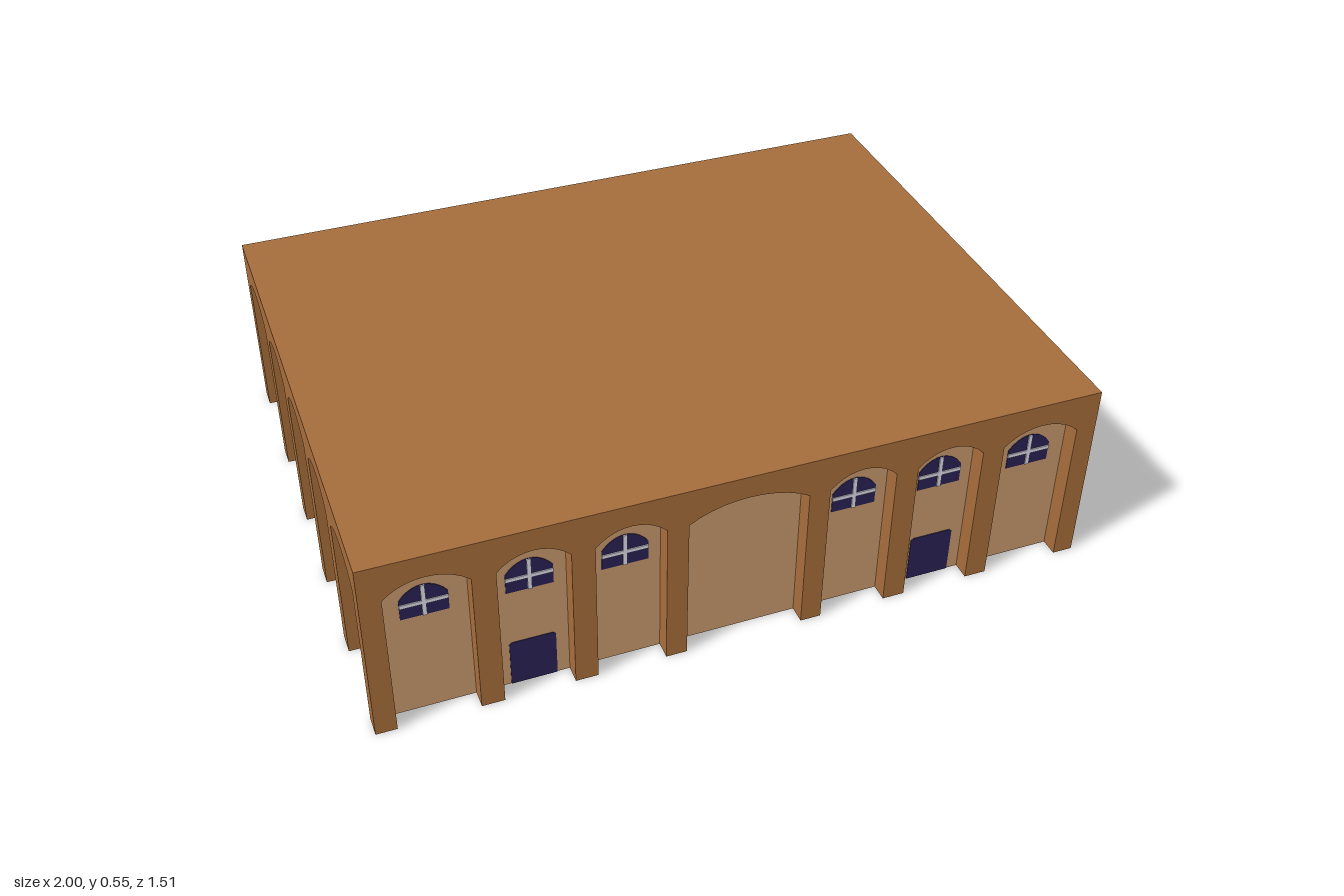
import * as THREE from 'three';

const W = 1, D = 0.757, H = 0.55, ROOF = 0.01, T = 0.055;
const SPRING = 0.44, APEX = 0.484;

const mat = (name, color) => {
  const m = new THREE.MeshStandardMaterial({ color });
  m.name = name;
  return m;
};

// Curve from the left springing point (x0, y) over to x1
function archOver(path, x0, x1, y, apex) {
  const c = y + (apex - y) * 4 / 3, k = (x1 - x0) * 0.28;
  path.bezierCurveTo(x0 + k, c, x1 - k, c, x1, y);
}

// Closed arched opening
function archShape(x0, x1, y0, spring, apex) {
  const s = new THREE.Shape();
  s.moveTo(x1, y0);
  s.lineTo(x0, y0);
  s.lineTo(x0, spring);
  archOver(s, x0, x1, spring, apex);
  s.closePath();
  return s;
}

function plate(name, shape, depth, z, material) {
  const g = new THREE.ExtrudeGeometry(shape, { depth, bevelEnabled: false, curveSegments: 10 });
  const mesh = new THREE.Mesh(g, material);
  mesh.name = name;
  mesh.position.z = z;
  return mesh;
}

// Wall with open arches and recessed panels; its outer face lies at z = 0
function makeWall(name, half, bays, mats) {
  const wall = new THREE.Group();
  wall.name = name;
  const s = new THREE.Shape();
  s.moveTo(-half, H - ROOF);
  s.lineTo(-half, 0);
  for (const [a, b] of bays) {
    s.lineTo(a, 0);
    s.lineTo(a, SPRING);
    archOver(s, a, b, SPRING, APEX);
    s.lineTo(b, 0);
  }
  s.lineTo(half, 0);
  s.lineTo(half, H - ROOF);
  s.closePath();
  wall.add(plate('arcade', s, T, -T, mats.brown));
  for (const [a, b] of bays)
    wall.add(plate('recessedPanel', archShape(a, b, 0, SPRING, APEX), 0.006, -T - 0.001, mats.tan));
  return wall;
}

function box(name, w, h, d, x, y, z, material) {
  const mesh = new THREE.Mesh(new THREE.BoxGeometry(w, h, d), material);
  mesh.name = name;
  mesh.position.set(x, y, z);
  return mesh;
}

function mirrored(right) {
  return right.map(([a, b]) => [-b, -a]).reverse();
}

export function createModel() {
  const mats = {
    brown: mat('brown masonry', 0xa66d3b),
    tan: mat('tan plaster', 0xc9996e),
    glass: mat('dark indigo', 0x2b2155),
    bar: mat('pale window bar', 0xe2e0ec),
  };
  const model = new THREE.Group();
  model.name = 'arcadedHall';

  // Bays of the long and short walls
  const longHalf = [[0.222, 0.41], [0.472, 0.662], [0.724, 0.943]];
  const longBays = [...mirrored(longHalf), [-0.164, 0.164], ...longHalf];
  const shortHalf = [[0.168, 0.39], [0.449, 0.7]];
  const shortBays = [...mirrored(shortHalf), [-0.11, 0.11], ...shortHalf];

  const front = makeWall('frontWall', W, longBays, mats);
  front.position.z = D;
  const back = makeWall('backWall', W, longBays, mats);
  back.position.z = -D;
  back.rotation.y = Math.PI;
  model.add(front, back);
  for (const side of [1, -1]) {
    const wall = makeWall(side > 0 ? 'leftWall' : 'rightWall', D - T, shortBays.map(
      ([a, b]) => [Math.max(a, -D + T + 0.002), Math.min(b, D - T - 0.002)]), mats);
    wall.position.x = side * W;
    wall.rotation.y = side * Math.PI / 2;
    model.add(wall);
  }

  // Roof slab
  model.add(box('roof', 2 * W, ROOF, 2 * D, 0, H - ROOF / 2, 0, mats.brown));

  // Arched windows with cross bars, and doors, set through the front panels
  const zPlate = -T - 0.0025;
  for (const side of [1, -1]) {
    for (const cx of [0.835, 0.568, 0.317]) {
      const win = new THREE.Group();
      win.name = 'window';
      win.position.x = side * cx;
      win.add(plate('windowPane', archShape(-0.062, 0.062, 0.318, 0.378, 0.417), 0.0095, zPlate, mats.glass));
      win.add(box('verticalBar', 0.011, 0.098, 0.004, 0, 0.367, -T + 0.008, mats.bar));
      win.add(box('horizontalBar', 0.124, 0.011, 0.004, 0, 0.361, -T + 0.008, mats.bar));
      front.add(win);
    }
    const door = new THREE.Shape();
    door.moveTo(-0.062, 0);
    door.lineTo(0.062, 0);
    door.lineTo(0.062, 0.138);
    door.lineTo(0.055, 0.145);
    door.lineTo(-0.055, 0.145);
    door.lineTo(-0.062, 0.138);
    door.closePath();
    const mesh = plate('door', door, 0.0095, zPlate, mats.glass);
    mesh.position.x = side * 0.568;
    front.add(mesh);
  }
  return model;
}
